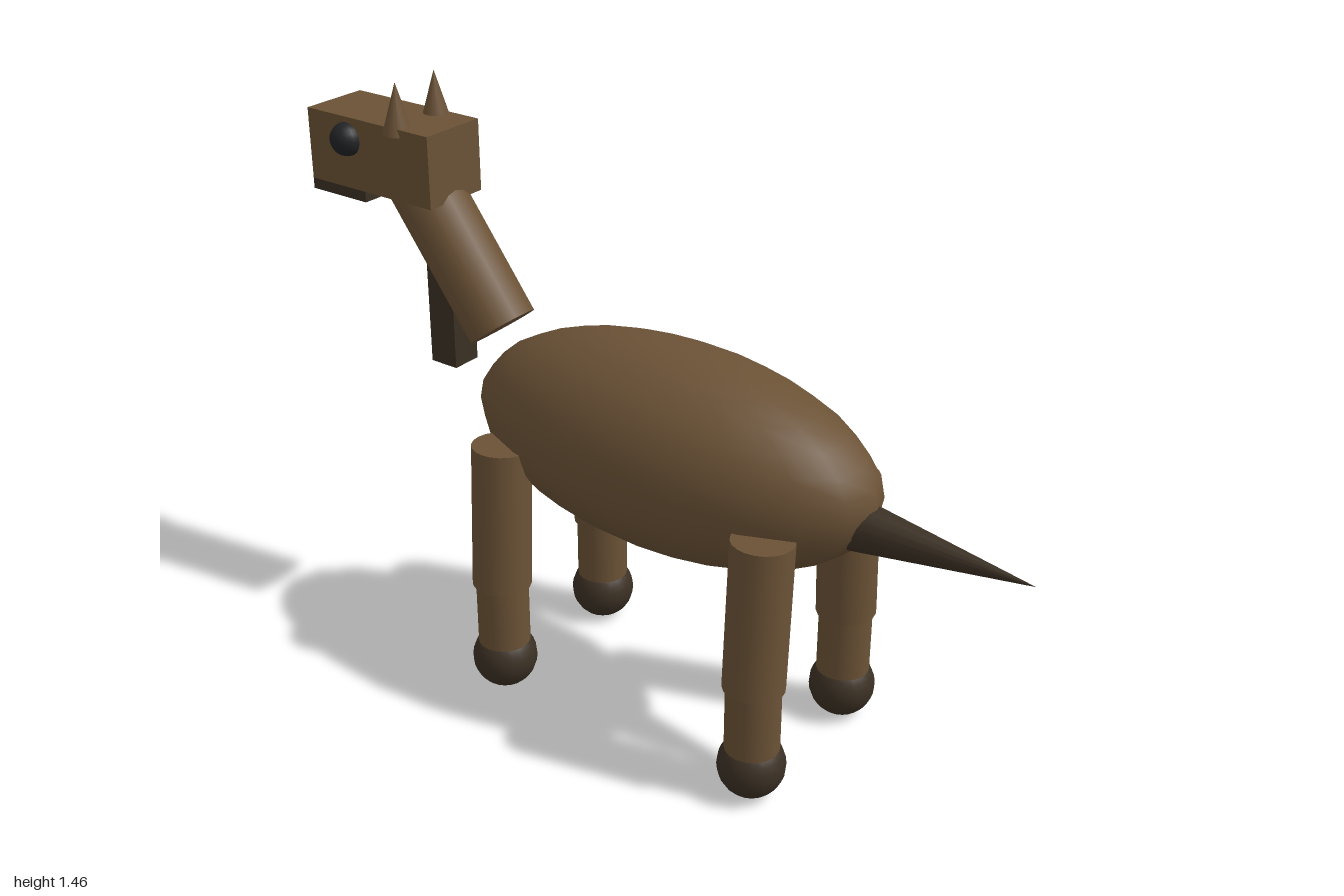
import * as THREE from 'three';

export function createModel() {
  const model = new THREE.Group();
  model.name = 'hornedAnimal';

  const material = (name, color) => {
    const m = new THREE.MeshStandardMaterial({ color });
    m.name = name;
    return m;
  };
  const brown = material('brown hide', 0x6b5236);
  const dark = material('dark brown', 0x3b3024);
  const black = material('eye black', 0x222326);

  const add = (name, geometry, mat, x, y, z, parent = model) => {
    const mesh = new THREE.Mesh(geometry, mat);
    mesh.name = name;
    mesh.position.set(x, y, z);
    parent.add(mesh);
    return mesh;
  };

  // Body: long ellipsoid
  add('body', new THREE.SphereGeometry(1, 20, 16), brown, 0, 0.707, 0.067)
    .scale.set(0.245, 0.253, 0.553);

  // Tail: cone pointing straight back (+z)
  add('tail', new THREE.ConeGeometry(0.07, 0.5, 16), dark, 0, 0.665, 0.75)
    .rotation.x = Math.PI / 2;

  // Neck: cylinder leaning forward (-z) into the head
  const lean = Math.atan2(0.6, 0.8);
  const neckLength = 0.45;
  add('neck', new THREE.CylinderGeometry(0.088, 0.088, neckLength, 20), brown,
    0, 0.872 + 0.4 * neckLength, -0.445 - 0.3 * neckLength)
    .rotation.x = -lean;

  // Head and muzzle
  add('head', new THREE.BoxGeometry(0.18, 0.18, 0.395), brown, 0, 1.26, -0.775);
  add('muzzle', new THREE.BoxGeometry(0.13, 0.13, 0.18), dark, 0, 1.195, -0.91);

  // Beard hanging below the neck
  add('beard', new THREE.BoxGeometry(0.08, 0.28, 0.08), dark, 0, 0.88, -0.61);

  const hornGeometry = new THREE.ConeGeometry(0.037, 0.125, 16);
  const eyeGeometry = new THREE.SphereGeometry(0.042, 16, 12);
  const upperGeometry = new THREE.CylinderGeometry(0.073, 0.073, 0.373, 20);
  const lowerGeometry = new THREE.CylinderGeometry(0.065, 0.065, 0.2, 20);
  const hoofGeometry = new THREE.SphereGeometry(0.081, 20, 14);

  for (const side of [-1, 1]) {
    // Horns and eyes
    add('horn', hornGeometry, brown, side * 0.067, 1.393, -0.693);
    add('eye', eyeGeometry, black, side * 0.09, 1.295, -0.843);

    // Legs: slightly splayed upper part, straight lower part, round hoof
    for (const [name, z] of [['frontLeg', -0.302], ['backLeg', 0.443]]) {
      const leg = new THREE.Group();
      leg.name = name;
      leg.position.set(side * 0.2, 0, z);
      model.add(leg);
      add('upperLeg', upperGeometry, brown, side * -0.009, 0.48, 0, leg)
        .rotation.z = side * 0.05;
      add('lowerLeg', lowerGeometry, brown, 0, 0.2, 0, leg);
      add('hoof', hoofGeometry, dark, 0, 0.081, 0, leg);
    }
  }
  return model;
}
